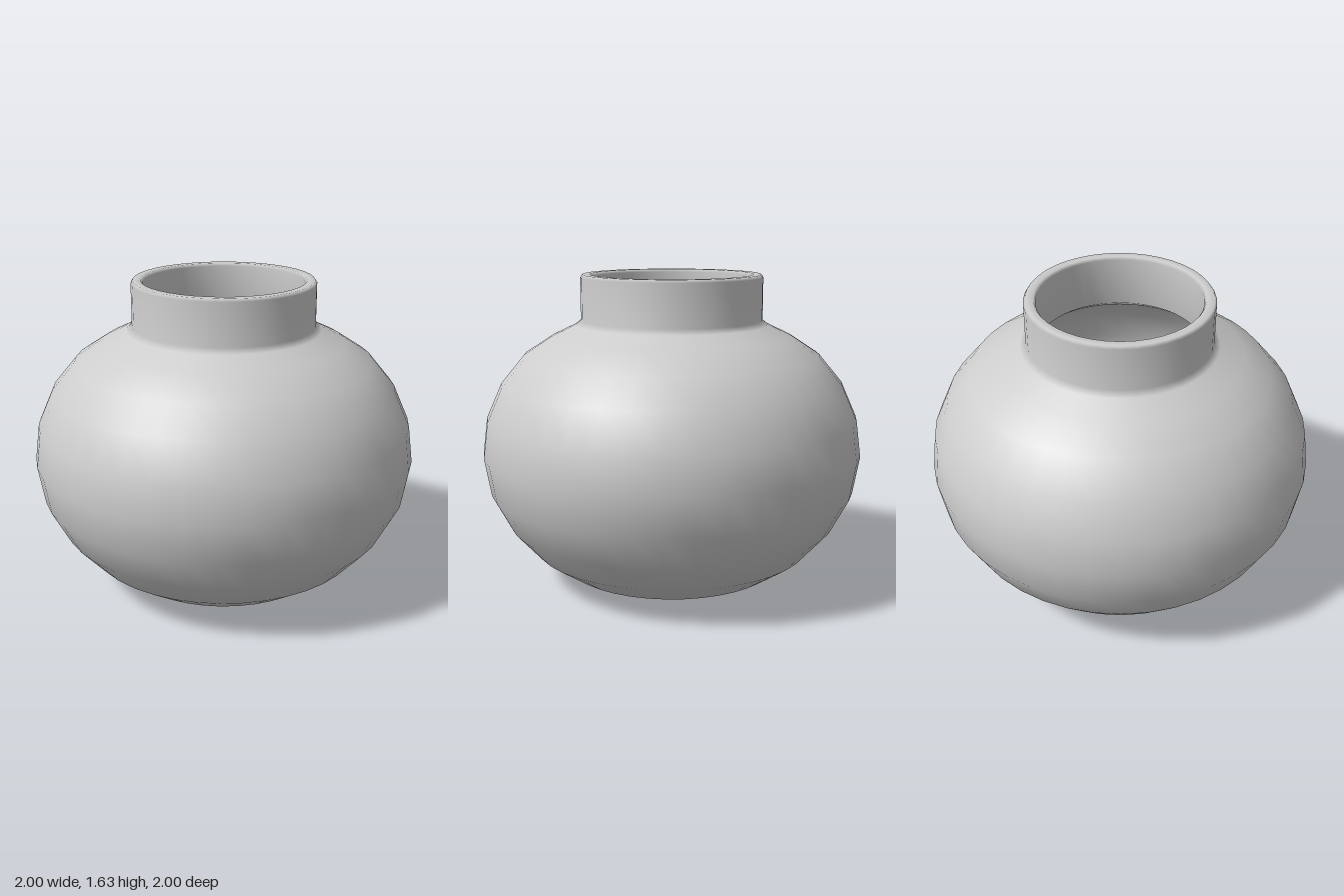
import * as THREE from 'three';

export function createModel() {
  const group = new THREE.Group();
  group.name = 'roundPot';
  const clay = new THREE.MeshStandardMaterial({ color: 0xcccccc });
  clay.name = 'light grey clay';

  // Outer belly and neck, from the centre of the base up to the rim
  const outer = [
    [0, 0], [0.4, 0], [0.57, 0.06], [0.735, 0.17], [0.87, 0.32], [0.965, 0.5], [1, 0.7],
    [0.975, 0.89], [0.895, 1.07], [0.775, 1.215], [0.63, 1.31], [0.505, 1.37],
    [0.475, 1.395], [0.475, 1.615],
  ];
  // Rounded rim, then the inner wall down to the centre of the floor
  const rim = [[0.465, 1.63], [0.425, 1.63], [0.415, 1.615]];
  const inner = [
    [0.415, 1.36], [0.47, 1.32], [0.6, 1.255], [0.735, 1.165], [0.84, 1.04], [0.915, 0.875],
    [0.94, 0.7], [0.905, 0.52], [0.815, 0.355], [0.69, 0.215], [0.545, 0.115], [0.385, 0.06], [0, 0.06],
  ];

  const profile = [...outer, ...rim, ...inner].map(([r, y]) => new THREE.Vector2(r, y));
  const pot = new THREE.Mesh(new THREE.LatheGeometry(profile, 40), clay);
  pot.name = 'potBody';
  group.add(pot);
  return group;
}
